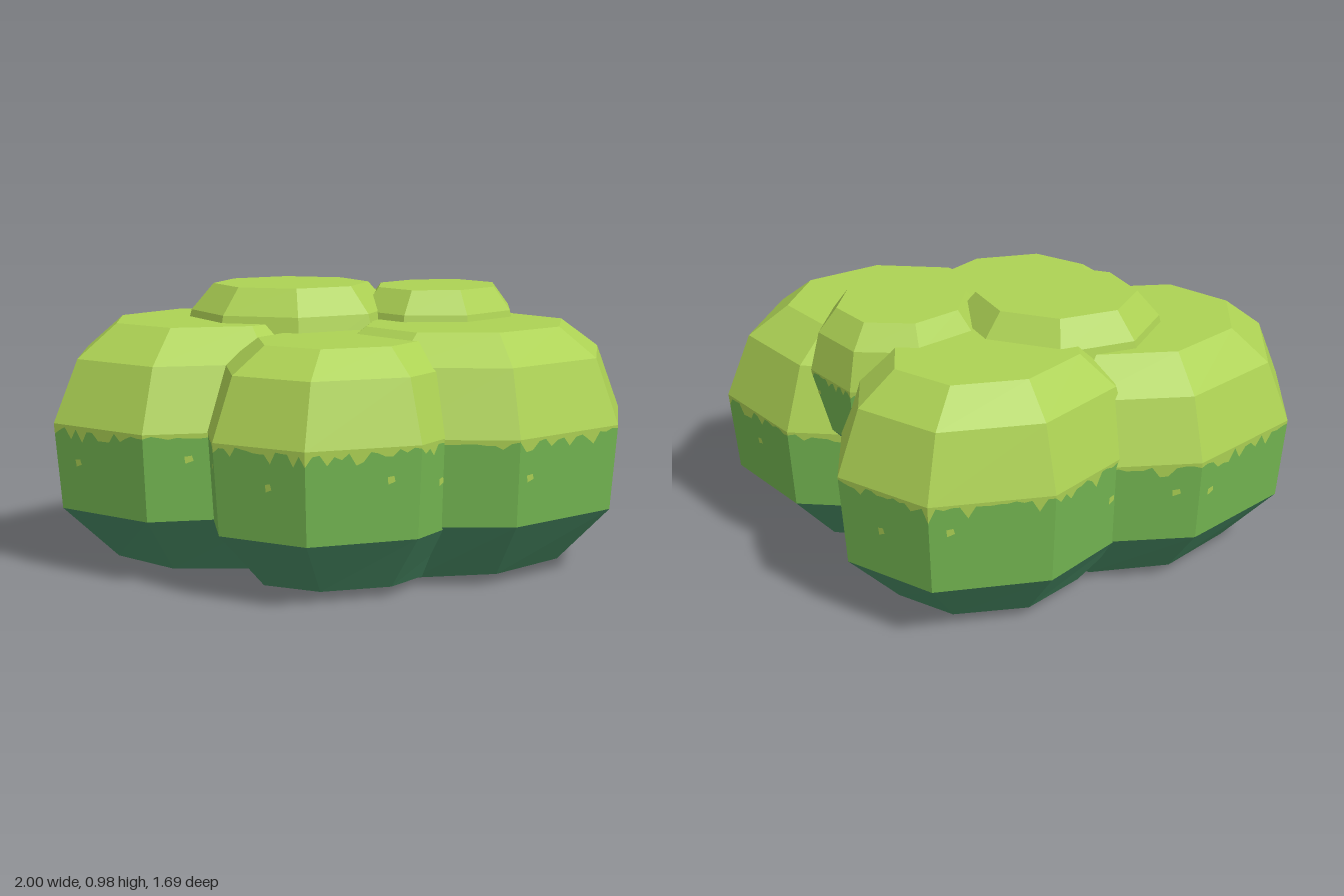
import * as THREE from 'three';

const SIDES = 8, STEPS = 16;

// small seeded generator for the ragged leaf edge
function seeded(seed) {
  return () => {
    seed = (seed * 16807) % 2147483647;
    return seed / 2147483647;
  };
}

// centre and two half-axes in x, z; ring heights from bottom to top; ring radii
const LOW = [0.63, 0.96, 1, 0.85, 0.61];
const HIGH = [0.63, 0.96, 1, 0.9, 0.7];
const LOBES = [
  { name: 'rightLobe', c: [-0.446, 0.05], u: [-0.573, 0.157], w: [-0.065, -0.51], phase: 0.5, y: [0.022, 0.235, 0.535, 0.75, 0.865], r: LOW },
  { name: 'leftLobe', c: [0.447, 0.108], u: [0.582, -0.047], w: [0.039, -0.509], phase: 0.5, y: [0.03, 0.24, 0.535, 0.76, 0.862], r: LOW },
  { name: 'frontLobe', c: [0.045, 0.375], u: [-0.085, 0.467], w: [0.474, -0.014], phase: 0, y: [0.028, 0.23, 0.54, 0.75, 0.838], r: LOW },
  { name: 'backLobe', c: [0.007, -0.35], u: [0.103, -0.495], w: [0.509, 0], phase: 0, y: [0.025, 0.23, 0.56, 0.79, 0.9], r: LOW },
  { name: 'largeTopLobe', c: [-0.18, -0.035], u: [0.064, 0.331], w: [-0.39, 0.075], phase: 0, y: [0.4, 0.53, 0.73, 0.89, 0.983], r: HIGH },
  { name: 'smallTopLobe', c: [0.337, -0.155], u: [0.115, -0.305], w: [0.295, 0.085], phase: 0, y: [0.42, 0.55, 0.75, 0.885, 0.967], r: HIGH },
];

export function createModel() {
  const lime = new THREE.MeshStandardMaterial({ color: 0xadd254, name: 'limeLeaves' });
  const green = new THREE.MeshStandardMaterial({ color: 0x73b551, name: 'midGreenLeaves' });
  const teal = new THREE.MeshStandardMaterial({ color: 0x488a64, name: 'darkTealLeaves' });
  const bush = new THREE.Group();
  bush.name = 'bush';

  LOBES.forEach((lobe, index) => {
    const random = seeded(1234 + index * 777);
    const { c, u, y, r } = lobe;
    // keep the winding outward
    const flip = u[0] * lobe.w[1] - u[1] * lobe.w[0] > 0 ? -1 : 1;
    const w = lobe.w.map((v) => v * flip);
    const length = Math.hypot(c[0], c[1]);

    // corner of ring k; the underside rises slightly away from the middle
    const corner = (k, i) => {
      const t = ((i + lobe.phase) * Math.PI * 2) / SIDES;
      const dx = r[k] * (Math.cos(t) * u[0] + Math.sin(t) * w[0]);
      const dz = r[k] * (Math.cos(t) * u[1] + Math.sin(t) * w[1]);
      const lift = k === 0 ? (0.05 * (dx * c[0] + dz * c[1])) / length : 0;
      return new THREE.Vector3(c[0] + dx, y[k] + lift, c[1] + dz);
    };
    const centre = (k) => new THREE.Vector3(c[0], y[k], c[1]);

    const parts = { crown: [], middle: [], underside: [] };
    const quad = (list, a, b, d, e) => list.push(a, b, d, a, d, e);

    // ragged line between the lime crown and the green band, with a few drips
    const columns = SIDES * STEPS;
    const drips = Array.from({ length: columns }, () =>
      random() < 0.25 ? 0.09 + 0.1 * random() : 0.02 + 0.05 * random());

    for (let i = 0; i < SIDES; i++) {
      const ring = (k) => [corner(k, i), corner(k, i + 1)];
      const [a0, a1] = ring(0), [b0, b1] = ring(1), [m0, m1] = ring(2);
      const [d0, d1] = ring(3), [e0, e1] = ring(4);
      parts.underside.push(centre(0), a1, a0);
      quad(parts.underside, a0, a1, b1, b0);
      quad(parts.crown, m0, m1, d1, d0);
      quad(parts.crown, d0, d1, e1, e0);
      parts.crown.push(centre(4), e0, e1);

      // point on the band: step along the side, depth down from its upper edge
      const band = (step, depth) => {
        const low = b0.clone().lerp(b1, step / STEPS);
        return m0.clone().lerp(m1, step / STEPS).lerp(low, depth);
      };
      for (let s = 0; s < STEPS; s++) {
        const from = drips[i * STEPS + s], to = drips[(i * STEPS + s + 1) % columns];
        quad(parts.middle, band(s, 1), band(s + 1, 1), band(s + 1, to), band(s, from));
        quad(parts.crown, band(s, from), band(s + 1, to), band(s + 1, 0), band(s, 0));
      }

      // stray lime fleck just proud of the band
      const s = 1 + random() * (STEPS - 3), depth = 0.22 + 0.2 * random();
      const out = m0.clone().add(m1).multiplyScalar(0.5).sub(centre(2)).setLength(0.003);
      const fleck = [[0.1, 0.09], [1.1, 0.06], [0.9, 0], [0, 0.01]]
        .map(([ds, dd]) => band(s + ds, depth + dd).add(out));
      quad(parts.crown, ...fleck);
    }

    const group = new THREE.Group();
    group.name = lobe.name;
    const materials = { crown: lime, middle: green, underside: teal };
    for (const [part, points] of Object.entries(parts)) {
      const geometry = new THREE.BufferGeometry().setFromPoints(points);
      geometry.computeVertexNormals(); // unshared corners give flat facets
      const mesh = new THREE.Mesh(geometry, materials[part]);
      mesh.name = part;
      group.add(mesh);
    }
    bush.add(group);
  });
  return bush;
}
